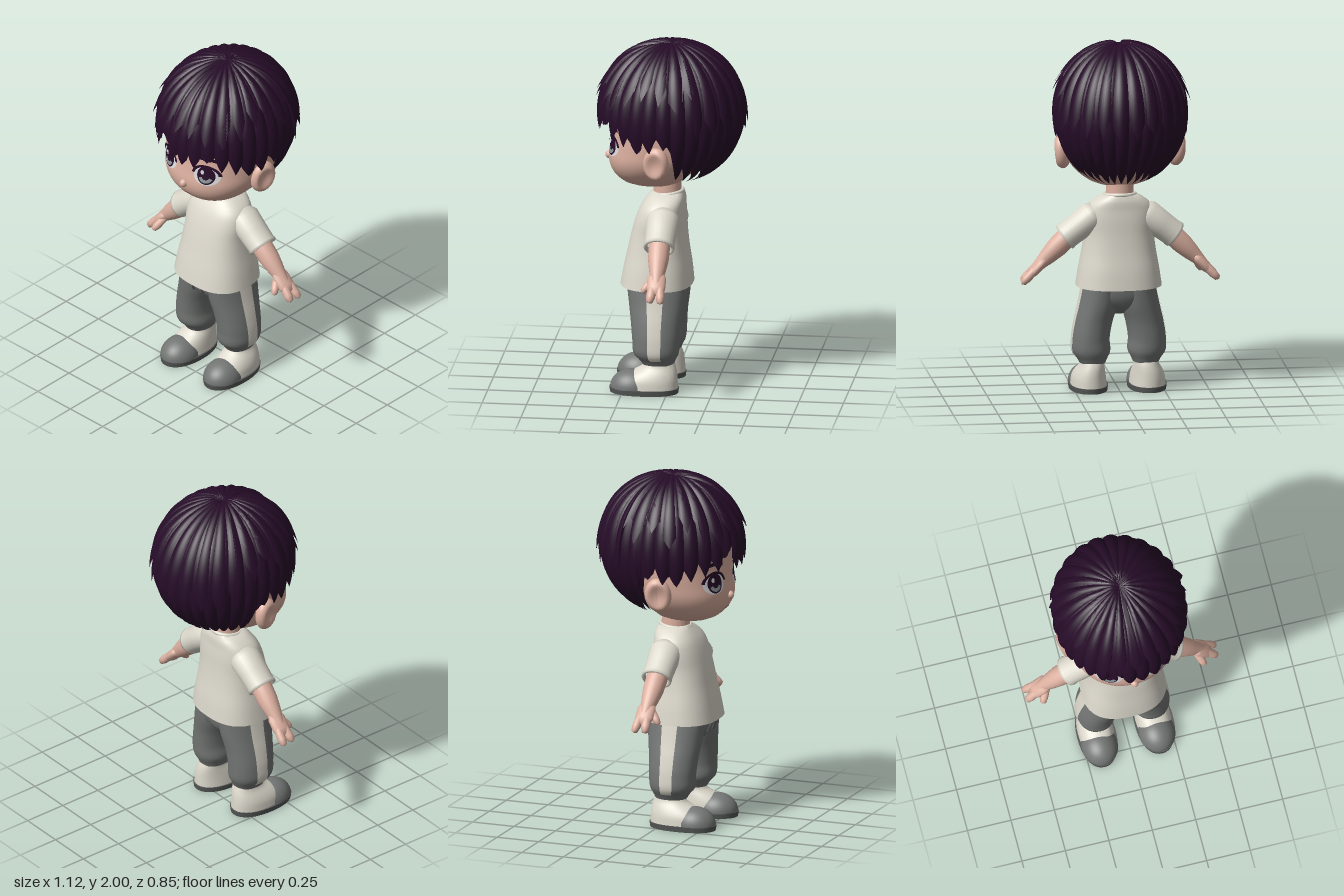
import * as THREE from 'three';
import { toCreasedNormals } from 'three/addons/utils/BufferGeometryUtils.js';

const mat = (name, color, side = THREE.FrontSide) => {
  const m = new THREE.MeshStandardMaterial({ color, side });
  m.name = name;
  return m;
};
const M = {
  skin: mat('skin', 0xdcb0a0),
  hair: mat('dark plum hair', 0x260c28, THREE.DoubleSide),
  shirt: mat('cream cloth', 0xdcd8cc),
  pants: mat('grey cloth', 0x737674),
  sole: mat('dark grey rubber', 0x565858),
  white: mat('eye white', 0xdadada),
  iris: mat('lower iris grey', 0x8b9696),
  mouth: mat('mouth brown', 0x7a4a44),
};

// Smoothly resample cross-section rows [y, centreX, halfWidth, frontZ, backZ]
function sampler(rows) {
  const f = new THREE.CubicInterpolant(rows.map(r => r[0]), rows.flatMap(r => r.slice(1)), 4);
  return y => [y, ...f.evaluate(y)];
}
function smooth(rows, n = 24) {
  const f = sampler(rows), y0 = rows[0][0], y1 = rows[rows.length - 1][0];
  return Array.from({ length: n + 1 }, (_, i) => f(y0 + (y1 - y0) * i / n));
}

// Skin over superellipse rows, ascending in y; an angle range gives an open strip
function loft(rows, { n = 2.2, a0 = 0, a1 = Math.PI * 2, seg = 44, grow = 0 } = {}) {
  const closed = a1 - a0 > 6.28, cols = closed ? seg : seg + 1, pos = [], idx = [];
  const pw = v => Math.sign(v) * Math.abs(v) ** (2 / n);
  const shrink = r => [r[0], r[1], 0, (r[3] + r[4]) / 2, (r[3] + r[4]) / 2];
  const all = closed ? [shrink(rows[0]), ...rows, shrink(rows[rows.length - 1])] : rows;
  for (const [y, cx, hw, zf, zb] of all) {
    for (let i = 0; i < cols; i++) {
      const a = a0 + (a1 - a0) * i / seg;
      pos.push(cx + (hw + grow) * pw(Math.cos(a)), y, (zf + zb) / 2 + ((zf - zb) / 2 + grow) * pw(Math.sin(a)));
    }
  }
  for (let j = 0; j < all.length - 1; j++) for (let i = 0; i < seg; i++) {
    const a = j * cols + i, b = j * cols + (i + 1) % cols;
    idx.push(a, a + cols, b, b, a + cols, b + cols);
  }
  const g = new THREE.BufferGeometry();
  g.setAttribute('position', new THREE.Float32BufferAttribute(pos, 3));
  g.setIndex(idx);
  return toCreasedNormals(g, 0.8);
}

const HEAD = [
  [1.165, 0, 0.06, 0.17, 0.03], [1.19, 0, 0.145, 0.25, -0.05], [1.23, 0, 0.21, 0.305, -0.1],
  [1.28, 0, 0.26, 0.337, -0.17], [1.34, 0, 0.295, 0.348, -0.23], [1.42, 0, 0.312, 0.337, -0.28],
  [1.5, 0, 0.318, 0.33, -0.3], [1.6, 0, 0.32, 0.33, -0.3], [1.75, 0, 0.28, 0.28, -0.26], [1.86, 0, 0.18, 0.17, -0.17],
];
const headAt = sampler(HEAD);

// Lay a flat geometry onto the face
function drape(g, x, y, lift) {
  const p = g.attributes.position;
  for (let i = 0; i < p.count; i++) {
    const px = p.getX(i) + x, py = p.getY(i) + y, [, , hw, zf, zb] = headAt(py);
    const c = (zf + zb) / 2, k = Math.max(0, 1 - Math.abs(px / hw) ** 2.2) ** (1 / 2.2);
    p.setXYZ(i, px, py, c + (zf - c) * k + lift);
  }
  g.computeVertexNormals();
  return g;
}
const disc = (rx, ry, t0 = 0, t1 = Math.PI * 2, inner = 0.001) =>
  new THREE.RingGeometry(inner, 1, 32, 5, t0, t1 - t0).scale(rx, ry, 1);

// Hair shell of pointed locks hanging from the crown to a jagged hem
const hash = i => { const v = Math.sin(i * 127.1 + 3.7) * 43758.5453; return v - Math.floor(v); };
const HEM = [[0, 1.49], [0.55, 1.5], [0.9, 1.46], [1.2, 1.42], [1.4, 1.44], [1.5, 1.47], [1.62, 1.46],
  [1.76, 1.25], [2.2, 1.215], [3.2, 1.215]];
function lowHem(phi) {
  const a = Math.abs(phi), k = Math.max(1, HEM.findIndex(h => h[0] >= a));
  const [p, q] = [HEM[k - 1], HEM[k]];
  const gap = 0.13 * Math.exp(-(((phi + 0.3) / 0.07) ** 2)) + 0.05 * Math.exp(-(((phi - 0.52) / 0.06) ** 2));
  return p[1] + (q[1] - p[1]) * (a - p[0]) / (q[0] - p[0]) + gap;
}
function hairShell(locks, size, hem, depth, flare, seed) {
  const sub = 8, cols = locks * sub, rows = 26, pos = [], idx = [];
  for (let j = 0; j <= rows; j++) for (let i = 0; i < cols; i++) {
    const t = j / rows, phi = (i / cols) * Math.PI * 2 - Math.PI, id = Math.floor(i / sub);
    const edge = Math.abs(2 * (i % sub) / sub - 1);
    const y0 = Math.max(1.2, hem(phi, id) + depth * (0.6 + 0.8 * hash(id + seed)) * edge);
    const al = Math.acos(THREE.MathUtils.clamp((y0 - 1.6) / 0.41, -1, 1)) * t;
    const r = size * (1 - 0.035 * edge ** 2 * Math.min(1, t * 2)) + flare * (1 - edge) * t ** 6;
    const s = Math.sin(al) ** 0.9 * r, x = 0.385 * s * Math.sin(phi);
    const z = 0.42 * s * Math.cos(phi);
    const part = z > -0.05 ? 0.018 * Math.exp(-((x / 0.025) ** 2)) * Math.max(0, Math.cos(al)) : 0;
    pos.push(x, 1.6 + Math.cos(al) * (al < 1.57 ? 0.4 : 0.41) * Math.min(r, 1) - part, z);
  }
  for (let j = 0; j < rows; j++) for (let i = 0; i < cols; i++) {
    const a = j * cols + i, b = j * cols + (i + 1) % cols;
    idx.push(a, a + cols, b, b, a + cols, b + cols);
  }
  const g = new THREE.BufferGeometry();
  g.setAttribute('position', new THREE.Float32BufferAttribute(pos, 3));
  g.setIndex(idx);
  return toCreasedNormals(g, 0.7);
}

export function createModel() {
  const root = new THREE.Group();
  root.name = 'chibiBoy';
  const add = (name, geo, material, x = 0, y = 0, z = 0) => {
    const m = new THREE.Mesh(geo, material);
    m.name = name;
    m.position.set(x, y, z);
    root.add(m);
    return m;
  };
  // Turned limb from p towards q; profile is [radius, fraction along]
  const limb = (name, material, p, q, profile, depth = 1) => {
    const a = new THREE.Vector3(...p), d = new THREE.Vector3(...q).sub(a), len = d.length();
    const g = new THREE.LatheGeometry(profile.map(([r, t]) => new THREE.Vector2(r, t * len)), 24);
    const m = add(name, g, material, ...p);
    m.quaternion.setFromUnitVectors(new THREE.Vector3(0, 1, 0), d.normalize());
    m.scale.z = depth;
  };
  const ROUND = r => [[0, 0], [r * 0.8, 0.06], [r, 0.25], [r, 0.7], [r * 0.75, 0.92], [0, 1]];

  // Head, neck and face
  add('head', loft(smooth(HEAD, 40), { seg: 64 }), M.skin);
  add('neck', loft([[1.06, 0, 0.08, 0.1, -0.06], [1.22, 0, 0.075, 0.1, -0.055]], { n: 2 }), M.skin);
  add('nose', new THREE.SphereGeometry(1, 20, 14).scale(0.022, 0.024, 0.026), M.skin, 0, 1.325, 0.345);
  add('mouth', drape(new THREE.PlaneGeometry(0.06, 0.008, 8, 1), 0, 1.255, 0.004), M.mouth);

  // Hair: full shell and a shorter layer over it
  add('hair', hairShell(30, 0.985, lowHem, 0.065, 0.01, 1), M.hair);
  const upperHem = (phi, id) => (Math.abs(phi) < 0.8 ? 1.62 : Math.abs(phi) > 2 ? 1.45 : 1.66) + 0.1 * hash(id + 40);
  add('hairTopLayer', hairShell(25, 1.0, upperHem, 0.11, 0.035, 9), M.hair);

  // Shirt body and collar
  add('shirt', loft(smooth([
    [0.6, 0, 0.24, 0.28, -0.125], [0.7, 0, 0.225, 0.262, -0.115], [0.8, 0, 0.207, 0.24, -0.1],
    [0.9, 0, 0.195, 0.218, -0.09], [1.0, 0, 0.195, 0.188, -0.085], [1.06, 0, 0.18, 0.16, -0.08],
    [1.1, 0, 0.14, 0.13, -0.08], [1.13, 0, 0.09, 0.105, -0.07]]), { n: 2.5 }), M.shirt);
  add('collar', new THREE.TorusGeometry(0.085, 0.011, 10, 36).rotateX(Math.PI / 2), M.shirt, 0, 1.125, 0.02).rotation.x = 0.1;

  // Hips
  add('hips', loft(smooth([
    [0.44, 0, 0.04, 0.1, 0.03], [0.49, 0, 0.13, 0.19, -0.06], [0.54, 0, 0.2, 0.225, -0.09],
    [0.62, 0, 0.2, 0.24, -0.1]], 10)), M.pants);

  for (const s of [-1, 1]) {
    const side = s > 0 ? 'left' : 'right';

    // Eye
    const ex = 0.14 * s, ey = 1.42;
    add(side + 'EyeWhite', drape(disc(0.074, 0.06), ex, ey, 0.002), M.white);
    add(side + 'Iris', drape(disc(0.05, 0.056), ex, ey + 0.002, 0.004), M.hair);
    add(side + 'IrisGlow', drape(disc(0.04, 0.045, Math.PI * 1.12, Math.PI * 1.88, 0.55), ex, ey, 0.006), M.iris);
    add(side + 'EyeGlint', drape(disc(0.01, 0.014), ex - 0.018, ey + 0.022, 0.008), M.white);
    add(side + 'Lashes', drape(disc(0.084, 0.072, 0.15, Math.PI - 0.15, 0.8), ex, ey - 0.002, 0.007), M.hair);
    const brow = new THREE.PlaneGeometry(0.13, 0.022, 14, 1), bp = brow.attributes.position;
    for (let i = 0; i < bp.count; i++) bp.setY(i, bp.getY(i) - 2.5 * bp.getX(i) ** 2);
    add(side + 'Eyebrow', drape(brow, 0.135 * s, 1.532, 0.005), M.hair);

    // Ear with a hollow in its outer face
    const ear = new THREE.SphereGeometry(1, 28, 20), p = ear.attributes.position;
    for (let i = 0; i < p.count; i++) {
      const x = p.getX(i), r = Math.hypot(p.getY(i), p.getZ(i));
      if (x * s > 0) p.setX(i, x * (1 - 0.65 * Math.max(0, 1 - (r / 0.75) ** 2)));
    }
    ear.scale(0.05, 0.098, 0.075).computeVertexNormals();
    const e = add(side + 'Ear', ear, M.skin, 0.322 * s, 1.372, 0.045);
    e.rotation.set(-0.12, -0.25 * s, -0.12 * s);

    // Sleeve, arm and hand
    limb(side + 'Sleeve', M.shirt, [0.115 * s, 1.035, 0.025], [0.312 * s, 0.882, 0.03],
      [[0, 0], [0.06, 0.02], [0.083, 0.2], [0.078, 0.6], [0.075, 0.92], [0.078, 0.93], [0.077, 1], [0.064, 1], [0.06, 0.93]], 1.12);
    limb(side + 'Arm', M.skin, [0.24 * s, 0.94, 0.03], [0.47 * s, 0.715, 0.025],
      [[0.055, 0], [0.06, 0.25], [0.058, 0.5], [0.048, 0.7], [0.036, 0.88], [0.03, 1]]);
    limb(side + 'Palm', M.skin, [0.415 * s, 0.77, 0.025], [0.515 * s, 0.665, 0.025], ROUND(0.03), 1.75);
    limb(side + 'FingersBack', M.skin, [0.46 * s, 0.725, 0.005], [0.555 * s, 0.63, -0.008], ROUND(0.024));
    limb(side + 'FingersFront', M.skin, [0.46 * s, 0.725, 0.04], [0.55 * s, 0.632, 0.055], ROUND(0.025));
    limb(side + 'Thumb', M.skin, [0.425 * s, 0.75, 0.035], [0.468 * s, 0.665, 0.108], ROUND(0.022));

    // Trouser leg with a pale outer stripe
    const leg = smooth([
      [0.165, 0.15, 0.074, 0.145, -0.035], [0.19, 0.152, 0.085, 0.16, -0.045], [0.22, 0.155, 0.104, 0.188, -0.06],
      [0.3, 0.158, 0.105, 0.198, -0.068], [0.4, 0.142, 0.106, 0.208, -0.075], [0.5, 0.115, 0.11, 0.222, -0.09],
      [0.6, 0.1, 0.105, 0.235, -0.1]].map(([y, c, ...r]) => [y, c * s, ...r]), 26);
    add(side + 'TrouserLeg', loft(leg), M.pants);
    const mid = s > 0 ? 0 : Math.PI;
    add(side + 'Stripe', loft(leg.filter(r => r[0] > 0.19), { a0: mid - 0.24, a1: mid + 0.24, seg: 8, grow: 0.004 }), M.shirt);

    // Shoe
    const cx = 0.165 * s;
    add(side + 'Sole', loft([[0, cx, 0.106, 0.322, -0.06], [0.03, cx, 0.11, 0.327, -0.064]]), M.sole);
    add(side + 'ShoeUpper', loft(smooth([
      [0.03, cx, 0.1, 0.27, -0.058], [0.08, cx, 0.094, 0.25, -0.056], [0.12, 0.16 * s, 0.082, 0.2, -0.052],
      [0.15, 0.154 * s, 0.07, 0.145, -0.045], [0.2, 0.15 * s, 0.064, 0.125, -0.025]], 12)), M.shirt);
    const toe = new THREE.SphereGeometry(1, 32, 14, 0, Math.PI * 2, 0, Math.PI / 2).scale(0.103, 0.1, 0.122);
    add(side + 'ToeCap', toe, M.pants, cx, 0.028, 0.2);

    // Drawstring
    const cord = new THREE.CatmullRomCurve3([[0.005, 0.6, 0.242], [0.03, 0.575, 0.243], [0.038, 0.53, 0.226]]
      .map(([x, y, z]) => new THREE.Vector3(x * s, y, z)));
    add(side + 'Drawstring', new THREE.TubeGeometry(cord, 10, 0.006, 6), M.sole);
  }
  return root;
}
